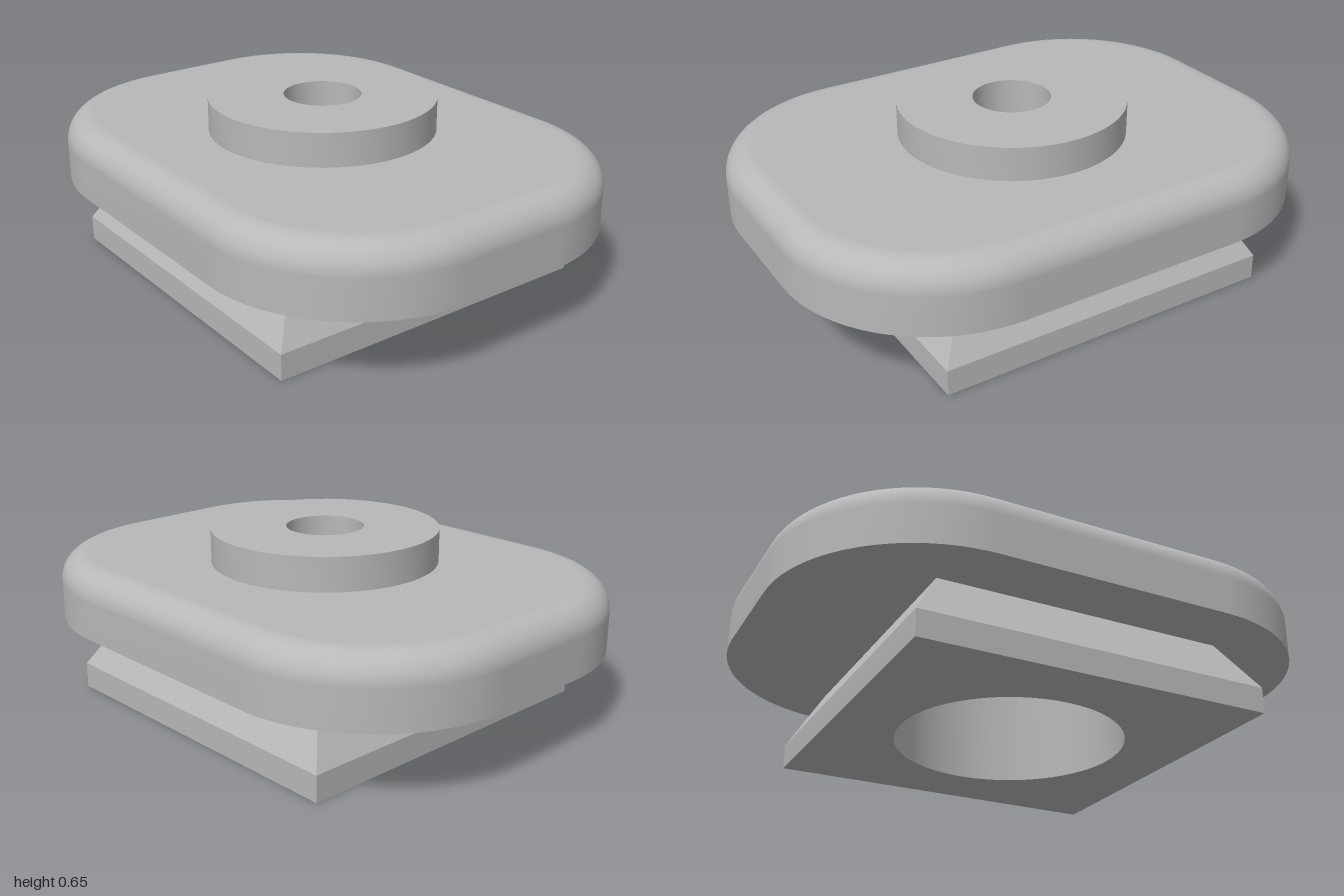
import * as THREE from 'three';
import { toCreasedNormals } from 'three/addons/utils/BufferGeometryUtils.js';

const BOSS_R = 0.42, HOLE_R = 0.143;
const PLATE = { x: 1, z: 0.767, r: 0.57, bottom: 0.28, top: 0.525, fillet: 0.1 };
const BASE = { half: 0.65, neck: 0.54, edge: 0.095 };

// Rounded rectangle outline, shrunk evenly by inset
function outline(inset) {
  const r = PLATE.r - inset, cx = PLATE.x - PLATE.r, cz = PLATE.z - PLATE.r, n = 20;
  const points = [];
  [[1, 1], [-1, 1], [-1, -1], [1, -1]].forEach(([sx, sz], q) => {
    for (let k = 0; k <= n; k++) {
      const a = (q + k / n) * Math.PI / 2;
      points.push(new THREE.Vector2(sx * cx + r * Math.cos(a), sz * cz + r * Math.sin(a)));
    }
  });
  return points;
}

// Flat horizontal face with a round opening
function face(points, y, up) {
  const shape = new THREE.Shape(points);
  shape.holes.push(new THREE.Path().absarc(0, 0, BOSS_R, 0, Math.PI * 2, true));
  const geometry = new THREE.ShapeGeometry(shape, 64);
  return geometry.rotateX(up ? -Math.PI / 2 : Math.PI / 2).translate(0, y, 0);
}

// Plate side wall rolling over into the top fillet
function plateSide() {
  const levels = [[0, PLATE.bottom]], steps = 10;
  for (let i = 0; i <= steps; i++) {
    const a = i / steps * Math.PI / 2;
    levels.push([PLATE.fillet * (1 - Math.cos(a)), PLATE.top - PLATE.fillet * (1 - Math.sin(a))]);
  }
  const position = [], index = [];
  let n = 0;
  levels.forEach(([inset, y], j) => {
    const ring = outline(inset);
    n = ring.length;
    ring.forEach((p, k) => {
      position.push(p.x, y, p.y);
      if (j === levels.length - 1) return;
      const a = j * n + k, b = j * n + (k + 1) % n;
      index.push(a, a + n, b, b, a + n, b + n);
    });
  });
  const geometry = new THREE.BufferGeometry();
  geometry.setAttribute('position', new THREE.Float32BufferAttribute(position, 3));
  geometry.setIndex(index);
  geometry.computeVertexNormals();
  return geometry;
}

// Turned surface with sharp corners
function turned(profile) {
  const points = profile.map(([r, y]) => new THREE.Vector2(r, y));
  return toCreasedNormals(new THREE.LatheGeometry(points, 64), 0.6);
}

// Four-sided wall between two square sections
function squareWall(bottom, top, y0, y1) {
  const s = Math.SQRT2;
  const geometry = new THREE.CylinderGeometry(top * s, bottom * s, y1 - y0, 4, 1, true);
  return toCreasedNormals(geometry.rotateY(Math.PI / 4).translate(0, (y0 + y1) / 2, 0), 0.3);
}

export function createModel() {
  const model = new THREE.Group();
  const grey = new THREE.MeshStandardMaterial({ color: 0xb8b8b8 });
  grey.name = 'grey';
  const add = (name, geometry) => {
    const mesh = new THREE.Mesh(geometry, grey);
    mesh.name = name;
    model.add(mesh);
  };

  // Rounded plate
  add('plateSide', plateSide());
  add('plateTop', face(outline(PLATE.fillet), PLATE.top, true));
  add('plateUnderside', face(outline(0), PLATE.bottom, false));

  // Round boss with the narrow through hole
  add('boss', turned([[BOSS_R, PLATE.top], [BOSS_R, 0.65], [HOLE_R, 0.65], [HOLE_R, 0.4]]));

  // Wide bore from below
  add('bore', turned([[HOLE_R, 0.4], [BOSS_R, 0.4], [BOSS_R, 0]]));

  // Square foot with sloped shoulders
  const h = BASE.half;
  const square = [[-h, -h], [h, -h], [h, h], [-h, h]].map(([x, y]) => new THREE.Vector2(x, y));
  add('footEdge', squareWall(h, h, 0, BASE.edge));
  add('footShoulder', squareWall(h, BASE.neck, BASE.edge, PLATE.bottom));
  add('footUnderside', face(square, 0, false));

  return model;
}
